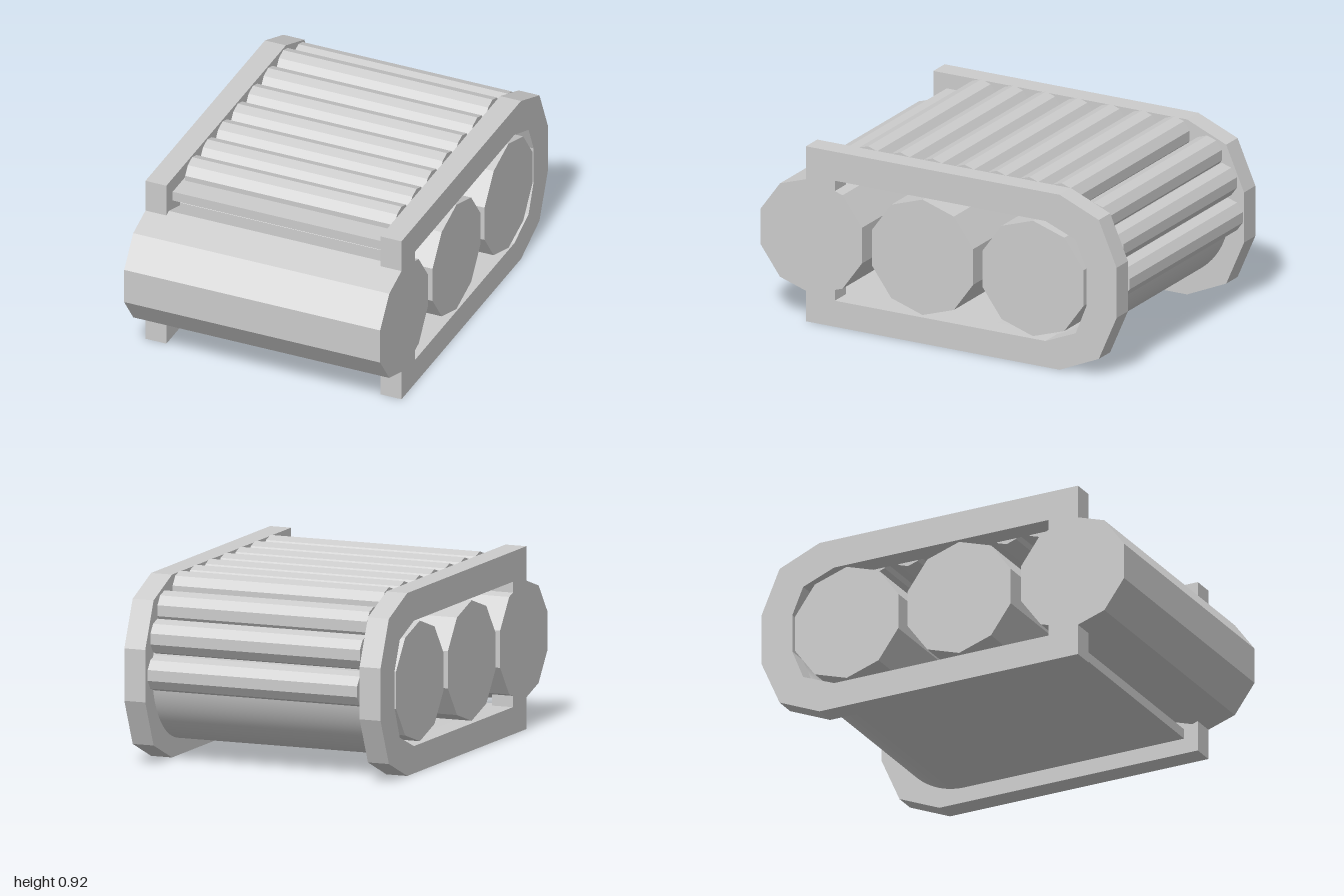
import * as THREE from 'three';
import { toCreasedNormals } from 'three/addons/utils/BufferGeometryUtils.js';

const flat = new THREE.MeshStandardMaterial({ color: 0xcccccc, flatShading: true });
const smooth = new THREE.MeshStandardMaterial({ color: 0xcccccc });

const MID_Y = 0.455;
const HALF_WIDTH = 0.685;
const FRAME_INNER = 0.573;

// Extrudes a (z, y) profile along x between x0 and x1.
function extrudeAcross(shape, x0, x1, curveSegments = 16) {
  const geo = new THREE.ExtrudeGeometry(shape, { depth: x1 - x0, bevelEnabled: false, curveSegments });
  geo.rotateY(-Math.PI / 2);
  geo.translate(x1, 0, 0);
  return geo;
}

// Ten-sided bar lying along x, with a corner pointing up.
function decagonBar(radius, length) {
  return new THREE.CylinderGeometry(radius, radius, length, 10)
    .rotateZ(Math.PI / 2)
    .rotateX(Math.PI / 2);
}

function add(parent, name, geometry, material, x = 0, y = 0, z = 0) {
  const mesh = new THREE.Mesh(geometry, material);
  mesh.name = name;
  mesh.position.set(x, y, z);
  parent.add(mesh);
}

const points = list => list.map(([z, y]) => new THREE.Vector2(z, y));

export function createModel() {
  const model = new THREE.Group();
  model.name = 'rollerTrack';

  // Side frames with a long window
  const frame = new THREE.Shape(points([
    [0.745, 0], [0.745, 0.907], [-0.68, 0.907], [-0.9, 0.815],
    [-1, 0.585], [-1, 0.325], [-0.9, 0.095], [-0.68, 0],
  ]));
  frame.holes.push(new THREE.Path(points([
    [0.583, 0.135], [-0.6, 0.135], [-0.77, 0.205], [-0.83, 0.355],
    [-0.83, 0.55], [-0.77, 0.69], [-0.6, 0.757], [0.583, 0.757],
  ])));
  add(model, 'leftFrame', extrudeAcross(frame, FRAME_INNER, HALF_WIDTH), flat);
  add(model, 'rightFrame', extrudeAcross(frame, -HALF_WIDTH, -FRAME_INNER), flat);

  // Thin belt wrapping over the top, around the back and under the bottom
  const arcZ = -0.54, outer = 0.375, inner = 0.325, frontZ = 0.67;
  const belt = new THREE.Shape();
  belt.moveTo(frontZ, MID_Y + outer);
  belt.lineTo(arcZ, MID_Y + outer);
  belt.absarc(arcZ, MID_Y, outer, Math.PI / 2, Math.PI * 1.5, false);
  belt.lineTo(frontZ, MID_Y - outer);
  belt.lineTo(frontZ, MID_Y - inner);
  belt.lineTo(arcZ, MID_Y - inner);
  belt.absarc(arcZ, MID_Y, inner, Math.PI * 1.5, Math.PI / 2, true);
  belt.lineTo(frontZ, MID_Y + inner);
  const beltGeo = extrudeAcross(belt, -FRAME_INNER - 0.002, FRAME_INNER + 0.002, 24);
  add(model, 'belt', toCreasedNormals(beltGeo, 0.6), smooth);

  // Three large drums
  const drum = decagonBar(0.299, HALF_WIDTH * 2);
  [0.715, 0.09, -0.53].forEach((z, i) => add(model, `drum${i + 1}`, drum, flat, 0, 0.447, z));

  // Slim rollers: an even row on top, then down the curved back
  const slats = new THREE.Group();
  slats.name = 'slats';
  const slat = decagonBar(0.0875, 1.12);
  const centres = [];
  for (let i = 0; i < 7; i++) centres.push([0.467 - i * 0.181, 0.83]);
  centres.push([-0.8, 0.762], [-0.884, 0.635], [-0.917, 0.46]);
  centres.forEach(([z, y], i) => add(slats, `slat${i + 1}`, slat, flat, 0, y, z));
  model.add(slats);

  return model;
}
